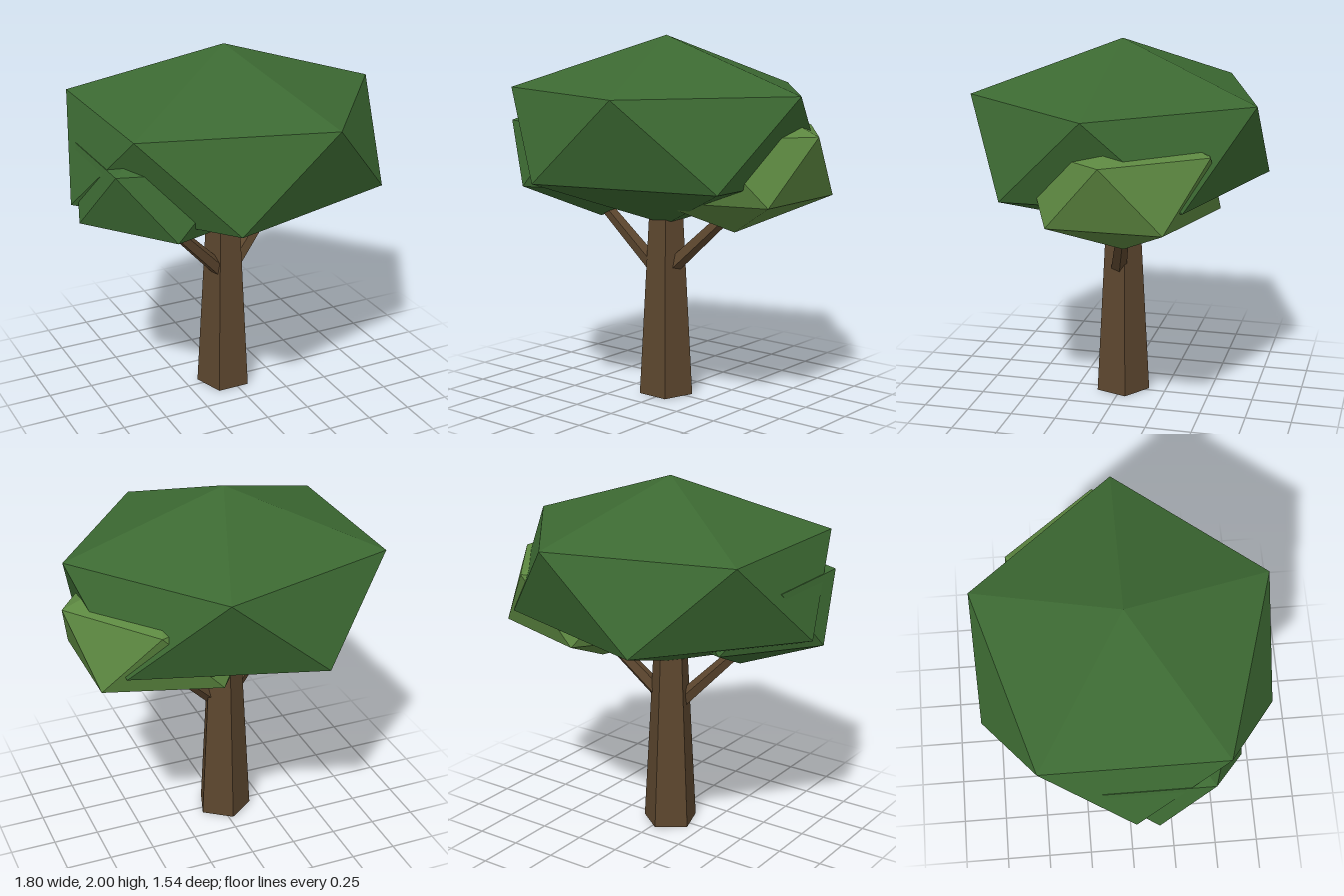
import * as THREE from 'three';

const bark = new THREE.MeshStandardMaterial({ color: 0x5c462e });
const leaf = new THREE.MeshStandardMaterial({ color: 0x3c6932 });
const lightLeaf = new THREE.MeshStandardMaterial({ color: 0x5c8740 });
bark.name = 'bark';
leaf.name = 'leaf green';
lightLeaf.name = 'light leaf green';

// Icosahedron standing on a vertex: two poles and two staggered rings of five
function foliage(name, material, center, ringX, ringZ, height) {
  const ringY = height / Math.sqrt(5);
  const ring = (i, y, turn) => {
    const a = ((i + turn) * Math.PI * 2) / 5;
    return [ringX * Math.cos(a), y, ringZ * Math.sin(a)];
  };
  const top = [0, height, 0], bottom = [0, -height, 0];
  const points = [];
  for (let i = 0; i < 5; i++) {
    const u0 = ring(i, ringY, 0), u1 = ring(i + 1, ringY, 0);
    const l0 = ring(i, -ringY, 0.5), l1 = ring(i + 1, -ringY, 0.5);
    points.push(top, u1, u0, u0, u1, l0, u1, l1, l0, bottom, l0, l1);
  }
  const geometry = new THREE.BufferGeometry();
  geometry.setAttribute('position', new THREE.Float32BufferAttribute(points.flat(), 3));
  geometry.computeVertexNormals();
  const mesh = new THREE.Mesh(geometry, material);
  mesh.name = name;
  mesh.position.set(...center);
  return mesh;
}

// Tapered five-sided limb between two points
function limb(name, from, to, r0, r1) {
  const a = new THREE.Vector3(...from), b = new THREE.Vector3(...to);
  const dir = b.clone().sub(a);
  const geometry = new THREE.CylinderGeometry(r1, r0, dir.length(), 5)
    .rotateY(Math.PI)
    .toNonIndexed();
  geometry.computeVertexNormals();
  const mesh = new THREE.Mesh(geometry, bark);
  mesh.name = name;
  mesh.position.copy(a).add(b).multiplyScalar(0.5);
  mesh.quaternion.setFromUnitVectors(new THREE.Vector3(0, 1, 0), dir.normalize());
  return mesh;
}

export function createModel() {
  const tree = new THREE.Group();
  tree.name = 'tree';
  tree.add(
    // Trunk and its two branches
    limb('trunk', [-0.025, 0, 0], [-0.025, 1.1, 0], 0.155, 0.094),
    limb('leftBranch', [0, 0.705, 0.02], [0.37, 1.08, -0.1], 0.046, 0.034),
    limb('rightBranch', [-0.03, 0.68, 0.03], [-0.4, 1.07, 0.12], 0.046, 0.034),
    // Crown and the two smaller clumps
    foliage('mainCrown', leaf, [-0.025, 1.48, 0], 0.88, 0.81, 0.52),
    foliage('rightClump', leaf, [-0.4, 1.355, 0.12], 0.505, 0.485, 0.37),
    foliage('leftClump', lightLeaf, [0.37, 1.33, -0.1], 0.53, 0.51, 0.385)
  );
  return tree;
}
